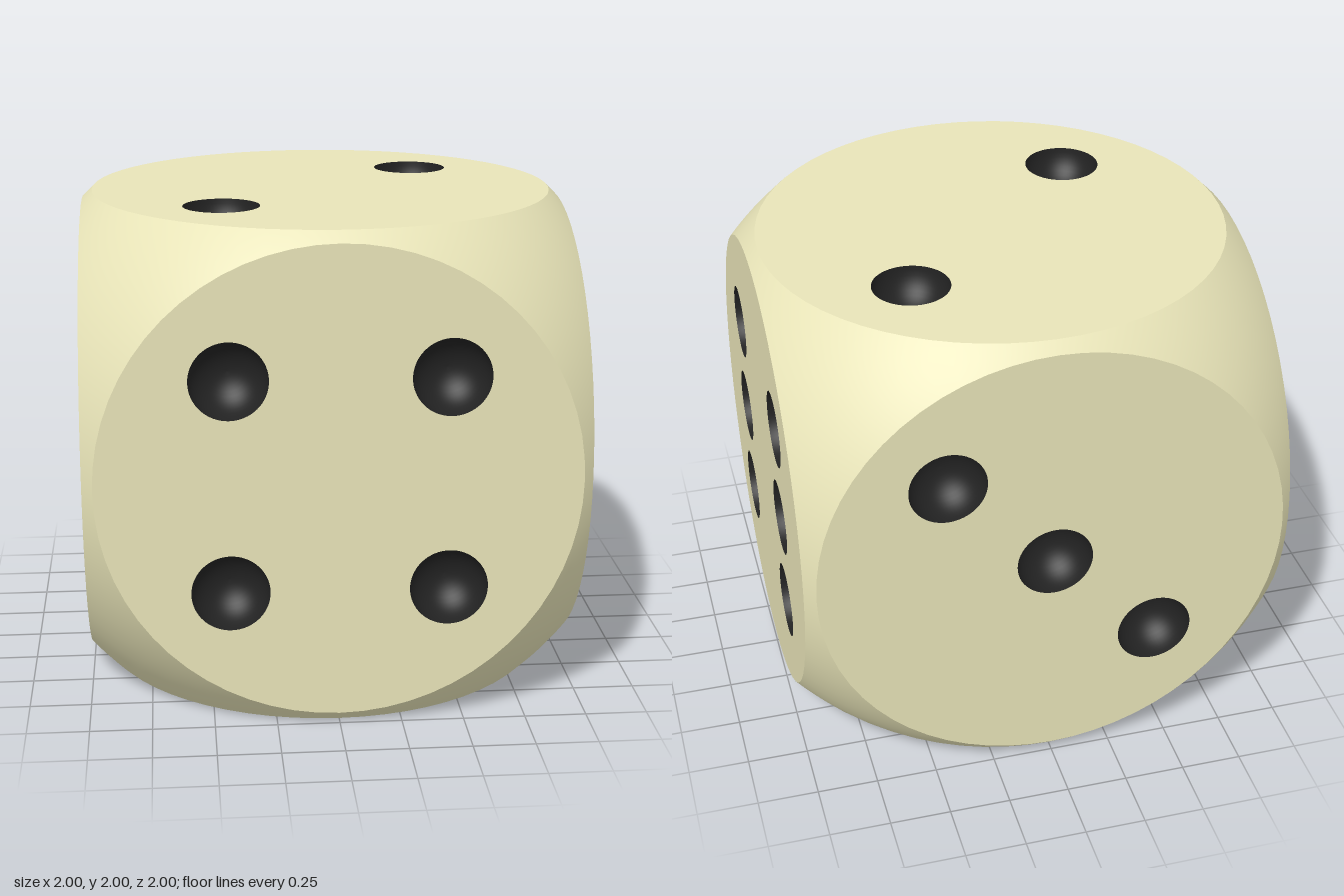
import * as THREE from 'three';

const R = 1.384;                    // rounding sphere
const C = Math.sqrt(R * R - 1);     // radius of the flat face discs
const PIP = 0.155, D = 0.43, SEG = 64;

const ivory = new THREE.MeshStandardMaterial({ color: 0xe8e4b8 });
const black = new THREE.MeshStandardMaterial({ color: 0x222222 });

function addMesh(parent, name, geometry, material) {
  const mesh = new THREE.Mesh(geometry, material);
  mesh.name = name;
  parent.add(mesh);
  return mesh;
}

// Flat disc with a round hole for every pip
function discGeometry(pips) {
  const shape = new THREE.Shape().absarc(0, 0, C, 0, Math.PI * 2, false);
  for (const [x, y] of pips) {
    shape.holes.push(new THREE.Path().absarc(x, y, PIP, 0, Math.PI * 2, true));
  }
  return new THREE.ShapeGeometry(shape, SEG / 2).translate(0, 0, 1);
}

// Spherical patch between the disc and the square outline of one cube side
function cornerGeometry() {
  const geo = new THREE.PlaneGeometry(1, 1, SEG, 12);
  const pos = geo.attributes.position, normal = geo.attributes.normal;
  const p = new THREE.Vector3();
  for (let i = 0; i < pos.count; i++) {
    const a = (pos.getX(i) + 0.5) * Math.PI * 2;
    const c = Math.cos(a), s = Math.sin(a);
    const edge = 1 / Math.max(Math.abs(c), Math.abs(s));
    const r = THREE.MathUtils.lerp(edge, C, pos.getY(i) + 0.5);
    p.set(c * r, s * r, 1).normalize();
    normal.setXYZ(i, p.x, p.y, p.z);
    pos.setXYZ(i, p.x * R, p.y * R, p.z * R);
  }
  return geo;
}

// Hollow half sphere, open towards +z
function pipGeometry() {
  const profile = [];
  for (let i = 0; i <= 12; i++) {
    const a = (i / 12) * Math.PI / 2;
    profile.push(new THREE.Vector2(i === 12 ? 0 : PIP * Math.cos(a), -PIP * Math.sin(a)));
  }
  return new THREE.LatheGeometry(profile, SEG).rotateX(Math.PI / 2);
}

export function createModel() {
  const model = new THREE.Group();
  model.name = 'die';
  const diagonal = [[D, D], [-D, -D]];
  const corners = [...diagonal, [-D, D], [D, -D]];
  const H = Math.PI / 2;

  // name, x turn, y turn, pip positions
  const sides = [
    ['front', 0, 0, corners],
    ['left', 0, H, [...corners, [-D, 0], [D, 0]]],
    ['back', 0, Math.PI, [[-D, D], [0, 0], [D, -D]]],
    ['right', 0, -H, [[0, 0]]],
    ['top', -H, 0, diagonal],
    ['bottom', H, 0, [...corners, [0, 0]]],
  ];

  const corner = cornerGeometry(), pip = pipGeometry();
  for (const [name, rx, ry, pips] of sides) {
    const side = new THREE.Group();
    side.name = name + 'Side';
    side.rotation.set(rx, ry, 0);
    side.position.y = 1;
    addMesh(side, name + 'Face', discGeometry(pips), ivory);
    addMesh(side, name + 'RoundedEdge', corner, ivory);
    for (const [x, y] of pips) {
      addMesh(side, name + 'Pip', pip, black).position.set(x, y, 1);
    }
    model.add(side);
  }
  return model;
}
